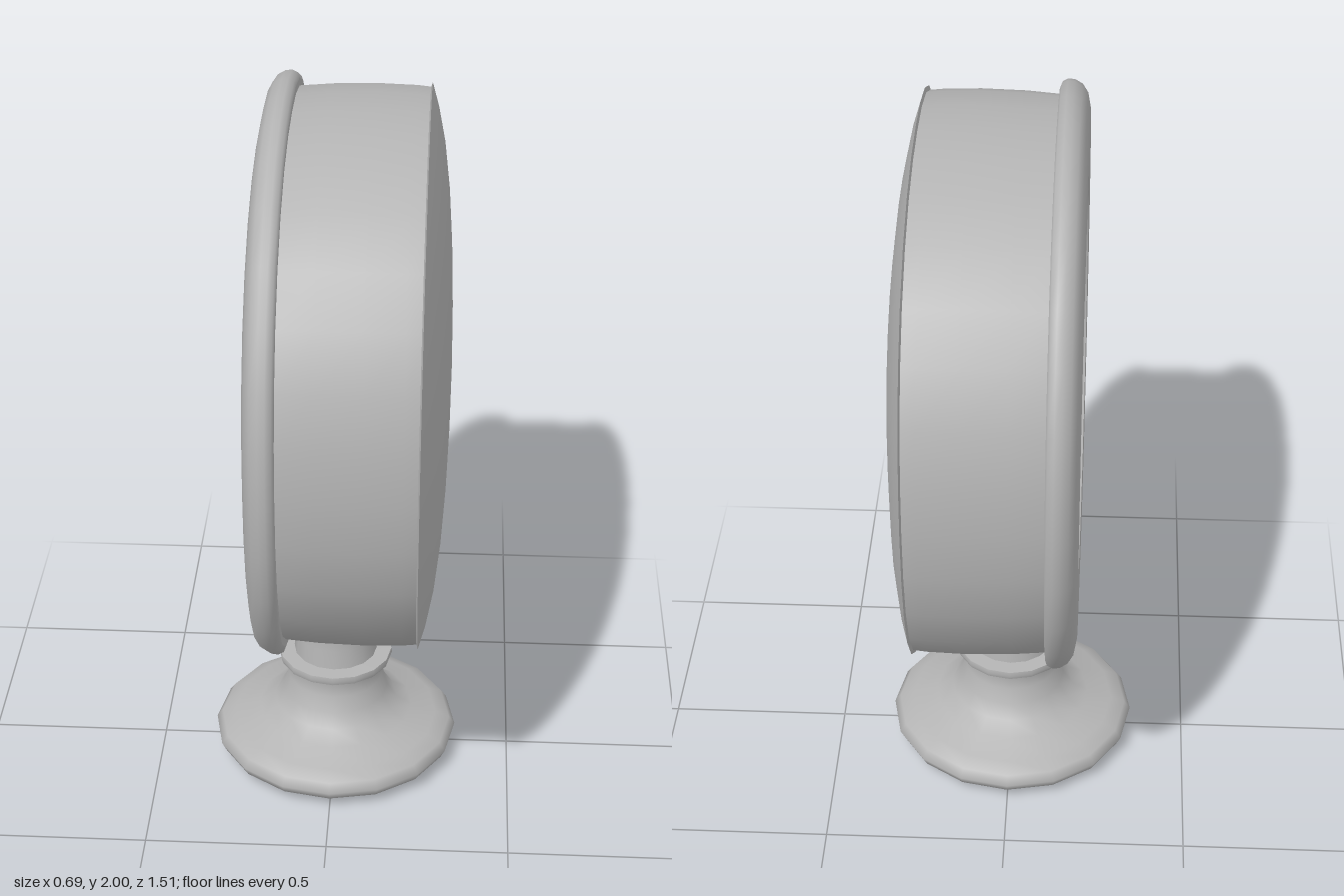
import * as THREE from 'three';
import { mergeVertices } from 'three/addons/utils/BufferGeometryUtils.js';

const SEGMENTS = 32;      // around the head
const SQUARENESS = 2.25;  // superellipse exponent of the head outline
const HEAD_Y = 1.245;

// Lathe from [radius, height] pairs, welded so the seam and poles shade smoothly
function lathe(profile, segments) {
  return new THREE.LatheGeometry(profile.map(([r, h]) => new THREE.Vector2(r, h)), segments);
}
function weld(geometry) {
  geometry.deleteAttribute('uv');
  geometry.deleteAttribute('normal');
  const welded = mergeVertices(geometry, 1e-4);
  welded.computeVertexNormals();
  return welded;
}

// Head piece: lathe whose circular section is pushed out to a soft squircle, laid along x
function headPiece(profile) {
  const g = lathe(profile, SEGMENTS);
  const p = g.attributes.position;
  for (let i = 0; i < p.count; i++) {
    const x = p.getX(i), z = p.getZ(i), r = Math.hypot(x, z);
    if (r < 1e-6) continue;
    const c = Math.abs(x / r), s = Math.abs(z / r);
    const k = Math.pow(Math.pow(c, SQUARENESS) + Math.pow(s, SQUARENESS), -1 / SQUARENESS);
    p.setX(i, x * k);
    p.setZ(i, z * k);
  }
  g.rotateZ(-Math.PI / 2);
  g.translate(0, HEAD_Y, 0);
  return weld(g);
}

export function createModel() {
  const model = new THREE.Group();
  const grey = new THREE.MeshStandardMaterial({ color: 0xb4b4b4 });
  grey.name = 'grey';

  function add(name, geometry) {
    const mesh = new THREE.Mesh(geometry, grey);
    mesh.name = name;
    model.add(mesh);
  }

  // Recessed dish
  add('dish', headPiece([
    [0, -0.07], [0.2, -0.07], [0.36, -0.075], [0.43, -0.095],
    [0.48, -0.13], [0.51, -0.165], [0.52, -0.19],
  ]));

  // Rounded rim around the dish
  add('rim', headPiece([
    [0.52, -0.19], [0.6, -0.192], [0.68, -0.191], [0.72, -0.183], [0.742, -0.168],
    [0.753, -0.148], [0.755, -0.13], [0.748, -0.115], [0.735, -0.11],
  ]));
  add('rimBack', headPiece([[0.735, -0.11], [0.715, -0.11]]));

  // Drum wall and domed face
  add('drum', headPiece([[0.715, -0.11], [0.722, -0.02], [0.725, 0.1], [0.722, 0.2], [0.718, 0.24]]));
  add('domeEdge', headPiece([[0.715, 0.235], [0.73, 0.24]]));
  add('dome', headPiece([
    [0.73, 0.24], [0.67, 0.258], [0.58, 0.277], [0.46, 0.292],
    [0.32, 0.302], [0.16, 0.308], [0, 0.31],
  ]));

  // Turned pedestal, one lathe per stretch between sharp edges
  const pedestal = {
    footUnderside: [[0, 0], [0.24, 0.003]],
    foot: [
      [0.24, 0.003], [0.3, 0.014], [0.335, 0.035], [0.347, 0.06], [0.33, 0.084], [0.29, 0.102],
      [0.22, 0.125], [0.175, 0.155], [0.15, 0.195], [0.135, 0.24], [0.126, 0.275],
      [0.138, 0.288], [0.158, 0.298],
    ],
    collar: [[0.158, 0.298], [0.162, 0.31], [0.16, 0.322]],
    collarTop: [[0.16, 0.322], [0.118, 0.324]],
    neck: [[0.118, 0.324], [0.112, 0.38], [0.108, 0.42], [0.112, 0.449]],
    ringUnderside: [[0.108, 0.449], [0.152, 0.452]],
    ring: [[0.152, 0.452], [0.152, 0.463]],
    ringTop: [[0.152, 0.463], [0.112, 0.466]],
    neckTop: [[0.112, 0.466], [0.11, 0.5], [0.112, 0.56]],
  };
  for (const [name, profile] of Object.entries(pedestal)) {
    add(name, weld(lathe(profile, 16)));
  }

  return model;
}
